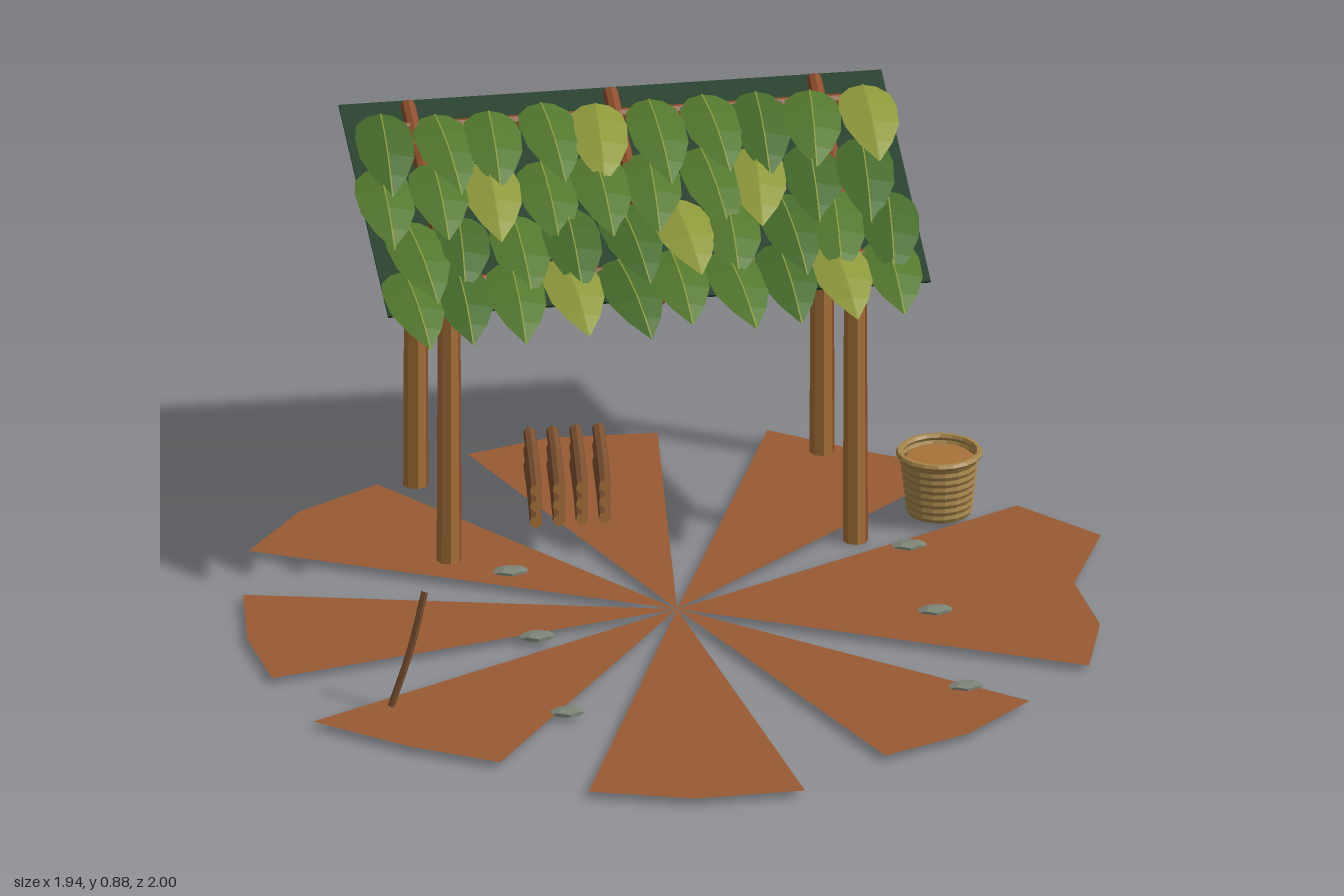
import * as THREE from 'three';
import { mergeGeometries } from 'three/addons/utils/BufferGeometryUtils.js';

const mat = (name, color, side = THREE.FrontSide) => {
  const m = new THREE.MeshStandardMaterial({ color, side, flatShading: true });
  m.name = name;
  return m;
};

function createModel() {
  const model = new THREE.Group();
  model.name = 'leafRoofShelter';
  const D = THREE.DoubleSide;
  const M = {
    earth: mat('earth', 0x995a33, D),
    bark: mat('bark', 0xa87239),
    redBark: mat('redBark', 0x8c4c2a),
    log: mat('logBrown', 0x7a5030),
    canopy: mat('darkCanopy', 0x24402a, D),
    leaf: mat('leafGreen', 0x54792e, D),
    leafDark: mat('leafDeepGreen', 0x466c2b, D),
    leafLight: mat('leafYellowGreen', 0x8f9a3c, D),
    weave: mat('weave', 0xa5854a, D),
    stone: mat('stone', 0x7d8576),
  };
  let seed = 7;
  const rand = () => (seed = (seed * 16807) % 2147483647) / 2147483647;
  const add = (parent, name, geo, material, x = 0, y = 0, z = 0) => {
    const mesh = new THREE.Mesh(geo, material);
    mesh.name = name;
    mesh.position.set(x, y, z);
    parent.add(mesh);
    return mesh;
  };
  const surface = (pos, index) => {
    const g = new THREE.BufferGeometry();
    g.setAttribute('position', new THREE.Float32BufferAttribute(pos, 3));
    g.setIndex(index);
    const flat = g.toNonIndexed();
    flat.computeVertexNormals();
    return flat;
  };

  // Ground: wedges of bare earth meeting at one centre
  const wedges = [
    [-0.94, -0.26, -0.97, -0.02, -0.95, 0.2],
    [-0.9, 0.45, -0.71, 0.62, -0.53, 0.735],
    [-0.365, 0.925, -0.14, 1, 0.105, 0.995],
    [0.31, 0.835, 0.51, 0.745, 0.67, 0.59],
    [0.83, 0.42, 0.89, 0.2, 0.87, -0.03, 0.97, -0.28, 0.815, -0.47],
    [0.725, -0.69, 0.527, -0.82, 0.34, -0.965],
    [0.1, -0.99, -0.14, -1, -0.33, -0.94],
    [-0.552, -0.81, -0.745, -0.69, -0.89, -0.495],
  ];
  const ground = new THREE.Group();
  ground.name = 'ground';
  model.add(ground);
  for (const w of wedges) {
    const pos = [-0.013, 0, -0.03];
    const idx = [];
    for (let i = 0; i < w.length; i += 2) {
      pos.push(w[i], 0, w[i + 1]);
      if (i) idx.push(0, i / 2, i / 2 + 1);
    }
    add(ground, 'earthWedge', surface(pos, idx), M.earth, 0, 0.016, 0);
  }

  // Flat stones
  for (const x of [-0.34, 0.545])
    for (const z of [-0.29, 0.07, 0.49])
      add(model, 'stone', new THREE.DodecahedronGeometry(1), M.stone, x, 0.018, z).scale.set(0.04, 0.008, 0.028);

  // Eight-sided pole whose listed faces show pale bark, the rest red bark
  const pole = (top, bottom, length, pale) => {
    const g = new THREE.CylinderGeometry(top, bottom, length, 8, 1);
    g.clearGroups();
    for (let i = 0; i < 8; i++) g.addGroup(i * 6, 6, pale.includes(i) ? 0 : 1);
    g.addGroup(48, 48, 0);
    return g;
  };
  const poleMaterials = [M.bark, M.redBark];

  // Posts with lashings near the top
  const post = (x, z, h) => {
    add(model, 'post', pole(0.025, 0.028, h, [0, 3, 4, 6, 7]), poleMaterials, x, h / 2, z);
    for (let i = 0; i < 3; i++)
      add(model, 'postLashing', new THREE.TorusGeometry(0.029, 0.006, 5, 12), M.weave, x, h - 0.03 + i * 0.011, z)
        .rotation.x = Math.PI / 2;
  };
  for (const x of [-0.463, 0.44]) {
    post(x, -0.377, 0.685);
    post(x, -0.832, 0.835);
  }

  // Sloping roof frame and canopy sheet
  const roof = new THREE.Group();
  roof.name = 'roof';
  roof.position.set(0, 0.755, -0.6075);
  roof.rotation.x = 0.306;
  model.add(roof);
  for (const x of [-0.463, -0.013, 0.44])
    add(roof, 'rafter', pole(0.016, 0.017, 0.7, [0, 7]), poleMaterials, x, 0, 0).rotation.x = Math.PI / 2;
  for (const z of [-0.272, 0.249])
    add(roof, 'crossBeam', pole(0.015, 0.016, 1.06, [5, 6]), poleMaterials, -0.012, 0, z).rotation.z = Math.PI / 2;
  add(roof, 'canopySheet', new THREE.BoxGeometry(1.206, 0.005, 0.71), M.canopy, -0.011, -0.003, -0.012);

  // Leaves: folded blades in four overlapping rows
  const halfWidths = [0.03, 0.056, 0.064, 0.06, 0.037, 0.001];
  const blade = (lift, width, fold) => {
    const pos = [];
    const idx = [];
    halfWidths.forEach((w, i) => {
      const t = [0, 0.1, 0.28, 0.55, 0.78, 1][i];
      const y = 0.018 + 0.02 * Math.sin(Math.PI * t) + 0.012 * t + lift;
      const hw = width || w;
      pos.push(-hw, y - fold * w, t * 0.285, 0, y, t * 0.285, hw, y - fold * w, t * 0.285);
      if (i) {
        const a = i * 3 - 3;
        for (const k of [a, a + 1]) idx.push(k, k + 3, k + 1, k + 1, k + 3, k + 4);
      }
    });
    return surface(pos, idx);
  };
  const leaves = { leaf: [], leafDark: [], leafLight: [] };
  const ribs = [];
  const lightLeaves = [4, 9, 12, 17, 25, 33, 38];
  [-0.296, -0.123, 0.055, 0.217].forEach((z, row) => {
    for (let i = 0; i < 10; i++) {
      const kind = lightLeaves.includes(row * 10 + i) ? 'leafLight' : rand() < 0.35 ? 'leafDark' : 'leaf';
      const m = new THREE.Matrix4().compose(
        new THREE.Vector3(-0.012 + (i - 4.5) * 0.119 + (row % 2 ? -0.015 : 0.015), rand() * 0.006, z + (rand() - 0.5) * 0.02),
        new THREE.Quaternion().setFromEuler(new THREE.Euler(0, (rand() - 0.5) * 0.22, 0)),
        new THREE.Vector3(1, 1, 0.92 + rand() * 0.14));
      leaves[kind].push(blade(0, 0, 0.25).applyMatrix4(m));
      ribs.push(blade(0.0015, 0.0015, 0).applyMatrix4(m));
    }
  });
  for (const kind in leaves) add(roof, 'roofLeaves', mergeGeometries(leaves[kind]), M[kind]);
  add(roof, 'leafRibs', mergeGeometries(ribs), M.leafLight);

  // Stacked firewood, slightly bowed, with pale cut ends
  for (let row = 0; row < 3; row++)
    for (let col = 0; col < 4; col++) {
      const x = -0.235 + col * 0.051;
      const y = 0.031 + row * 0.038;
      const curve = new THREE.CatmullRomCurve3([
        new THREE.Vector3(x - 0.012, y, -0.515),
        new THREE.Vector3(x + 0.004, y + 0.007, -0.65),
        new THREE.Vector3(x + 0.018, y + 0.018, -0.79)]);
      add(model, 'firewood', new THREE.TubeGeometry(curve, 4, 0.014, 7), M.log);
      for (const t of [0, 1]) {
        const p = curve.getPoint(t);
        add(model, 'firewoodEnd', new THREE.CircleGeometry(0.014, 7), M.bark, p.x, p.y, p.z).rotation.y = t * Math.PI;
      }
    }

  // Leaning stick
  const lean = new THREE.CatmullRomCurve3([
    new THREE.Vector3(-0.717, 0.016, 0.393),
    new THREE.Vector3(-0.672, 0.15, 0.388),
    new THREE.Vector3(-0.64, 0.28, 0.38)]);
  add(model, 'leaningStick', new THREE.TubeGeometry(lean, 6, 0.008, 6), M.log);

  // Woven basket: ridged wall, rim, base and a filling just below the rim
  const basket = new THREE.Group();
  basket.name = 'basket';
  basket.position.set(0.64, 0.02, -0.46);
  model.add(basket);
  const wall = [];
  for (let i = 0; i <= 16; i++)
    wall.push(new THREE.Vector2(0.07 + 0.016 * i / 16 + (i % 2 ? 0.003 : 0), 0.14 * i / 16));
  add(basket, 'basketWall', new THREE.LatheGeometry(wall, 18), M.weave);
  add(basket, 'basketRim', new THREE.TorusGeometry(0.088, 0.008, 6, 18), M.weave, 0, 0.14, 0).rotation.x = Math.PI / 2;
  add(basket, 'basketBase', new THREE.CylinderGeometry(0.07, 0.07, 0.006, 18), M.weave, 0, 0.003, 0);
  add(basket, 'basketFilling', new THREE.CylinderGeometry(0.072, 0.083, 0.01, 18), M.bark, 0, 0.125, 0);

  return model;
}

export { createModel };
